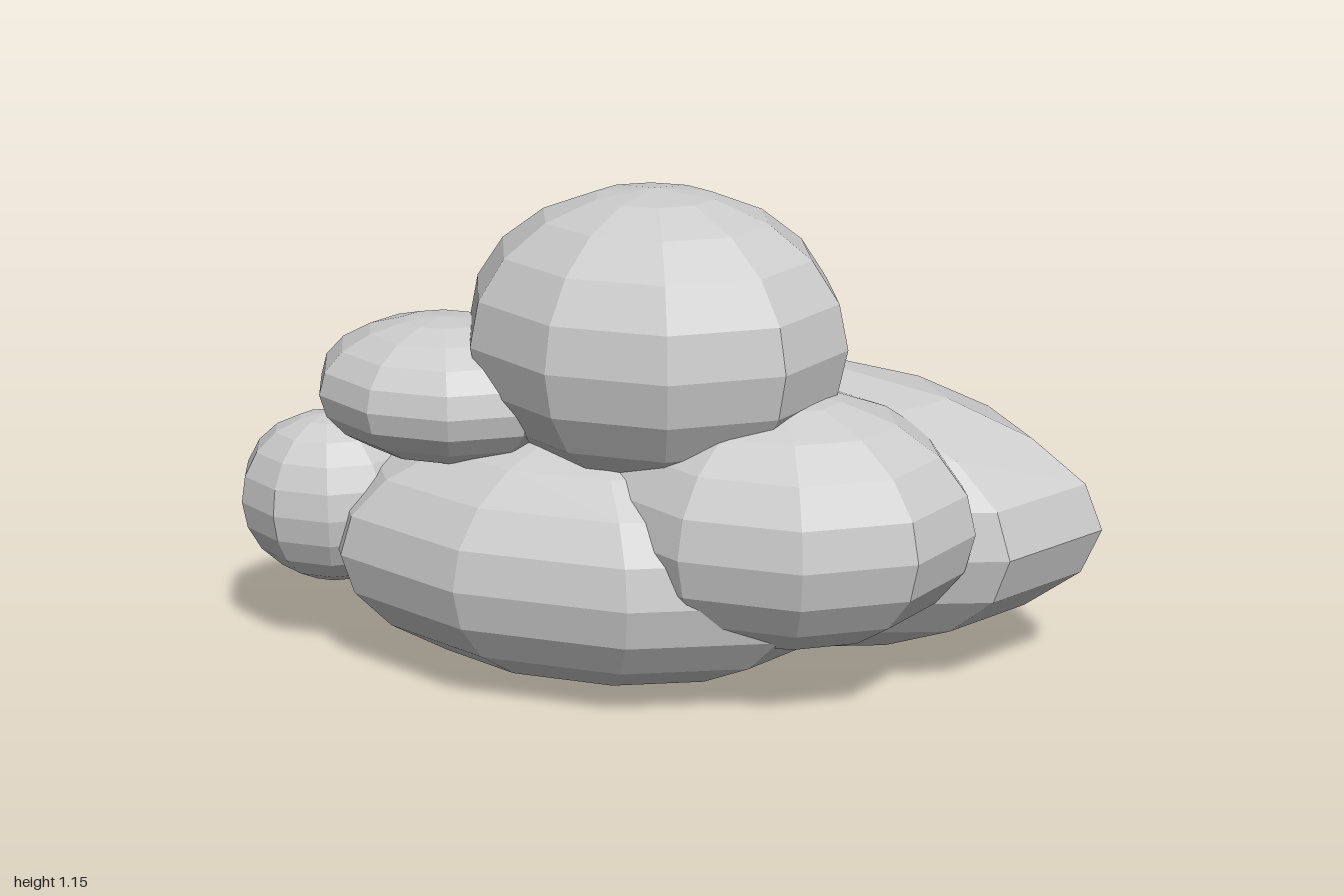
import * as THREE from 'three';

// Each puff: name, centre, radii
const PUFFS = [
  ['topPuff', [-0.003, 0.82, 0.122], [0.446, 0.337, 0.378]],
  ['backPuff', [0.103, 0.365, -0.122], [0.89, 0.35, 0.43]],
  ['frontPuff', [-0.145, 0.31, 0.175], [0.655, 0.305, 0.373]],
  ['leftPuff', [0.302, 0.434, 0.167], [0.448, 0.295, 0.356]],
  ['rightUpperPuff', [-0.478, 0.678, 0.208], [0.31, 0.168, 0.248]],
  ['rightEndPuff', [-0.777, 0.38, 0.206], [0.223, 0.205, 0.184]],
];

export function createModel() {
  const cloud = new THREE.Group();
  cloud.name = 'cloud';
  const material = new THREE.MeshStandardMaterial({ color: 0xcccccc, flatShading: true });

  // Overlapping faceted ellipsoids form the cloud
  for (const [name, centre, radii] of PUFFS) {
    const geometry = new THREE.SphereGeometry(1, 10, 10);
    geometry.scale(...radii);
    const puff = new THREE.Mesh(geometry, material);
    puff.name = name;
    puff.position.set(...centre);
    cloud.add(puff);
  }
  return cloud;
}
